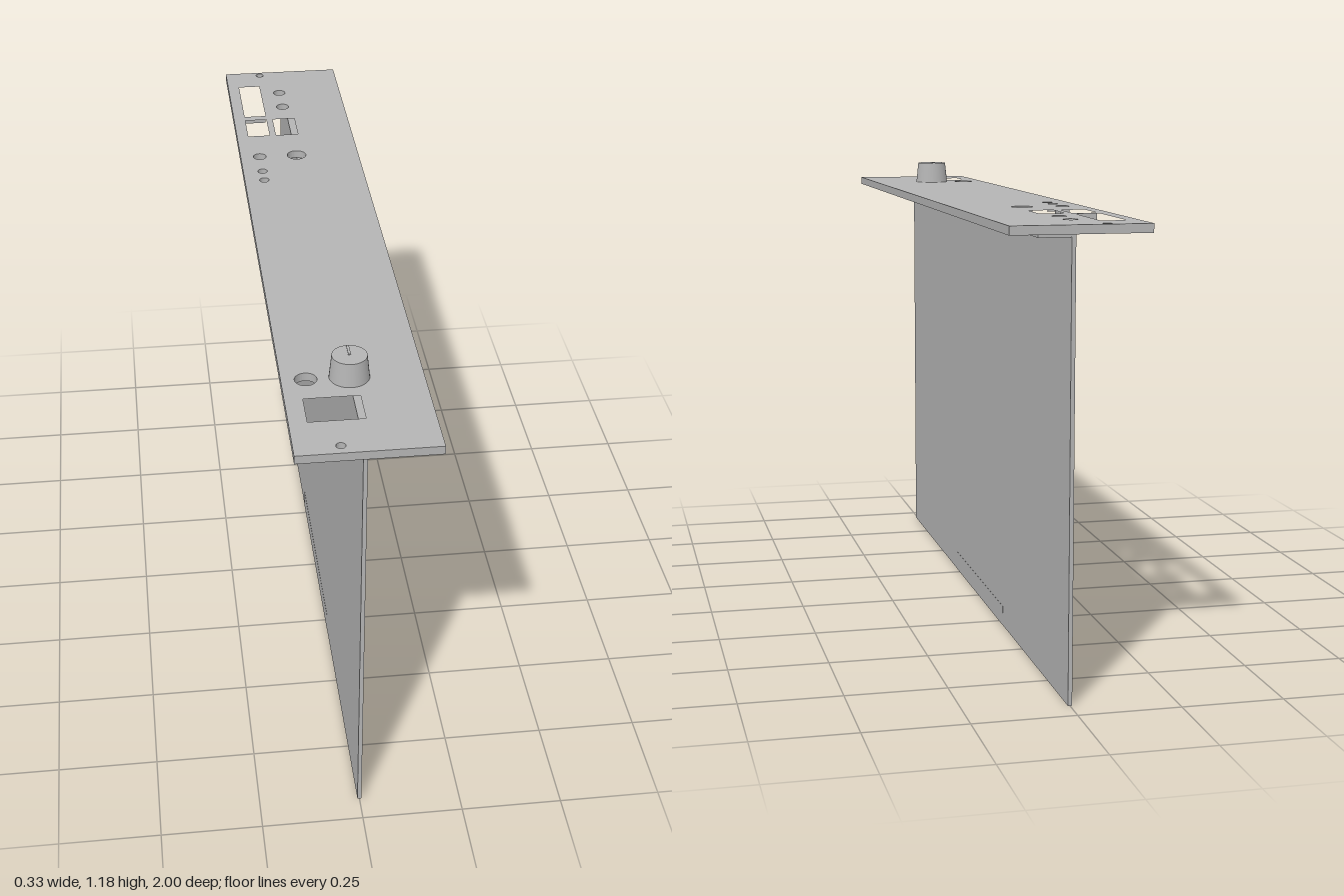
import * as THREE from 'three';

export function createModel() {
  const model = new THREE.Group();
  const grey = new THREE.MeshStandardMaterial({ color: 0xb4b4b4 });
  grey.name = 'plain grey';

  const add = (name, geometry, x = 0, y = 0, z = 0) => {
    const mesh = new THREE.Mesh(geometry, grey);
    mesh.name = name;
    mesh.position.set(x, y, z);
    model.add(mesh);
    return mesh;
  };
  const box = (name, x0, x1, y0, y1, z0, z1) => add(
    name, new THREE.BoxGeometry(x1 - x0, y1 - y0, z1 - z0),
    (x0 + x1) / 2, (y0 + y1) / 2, (z0 + z1) / 2);

  // Front panel, drawn flat with shape y = -z, then laid down
  const rect = (path, x0, x1, z0, z1) => {
    path.moveTo(x0, -z0);
    path.lineTo(x1, -z0);
    path.lineTo(x1, -z1);
    path.lineTo(x0, -z1);
    path.closePath();
    return path;
  };
  const panel = rect(new THREE.Shape(), -0.164, 0.164, -1, 1);

  // Rectangular connector cutouts: x0, x1, z0, z1
  for (const r of [
    [-0.132, -0.071, -0.9, -0.692],
    [-0.132, -0.071, -0.667, -0.562],
    [-0.053, 0.01, -0.667, -0.562],
    [-0.122, 0.008, 0.785, 0.876],
  ]) panel.holes.push(rect(new THREE.Path(), ...r));

  // Round holes: x, z, radius
  for (const [x, z, r] of [
    [-0.063, -0.98, 0.011], [-0.06, 0.972, 0.011],
    [-0.016, -0.848, 0.017], [-0.016, -0.75, 0.018],
    [-0.111, -0.431, 0.018], [-0.008, -0.43, 0.026],
    [-0.111, -0.341, 0.013], [-0.111, -0.288, 0.013],
    [-0.107, 0.706, 0.026],
  ]) panel.holes.push(new THREE.Path().absarc(x, -z, r, 0, Math.PI * 2));

  const panelGeo = new THREE.ExtrudeGeometry(panel, { depth: 0.021, bevelEnabled: false, curveSegments: 16 });
  panelGeo.rotateX(-Math.PI / 2);
  add('frontPanel', panelGeo, 0, 1.097, 0);

  // Circuit board, its edge contacts and the mounting strip under the panel
  box('circuitBoard', -0.005, 0.005, 0, 1.097, -0.935, 0.935);
  box('edgeContacts', -0.0055, 0.0055, 0, 0.052, -0.29, 0.29);
  box('mountingStrip', -0.005, 0.083, 1.085, 1.097, -0.935, 0.935);

  // Tapered knob with a pointer mark
  add('knobBody', new THREE.CylinderGeometry(0.041, 0.047, 0.058, 40), -0.007, 1.147, 0.705);
  box('knobPointer', -0.01, -0.004, 1.17, 1.178, 0.666, 0.705);

  return model;
}
